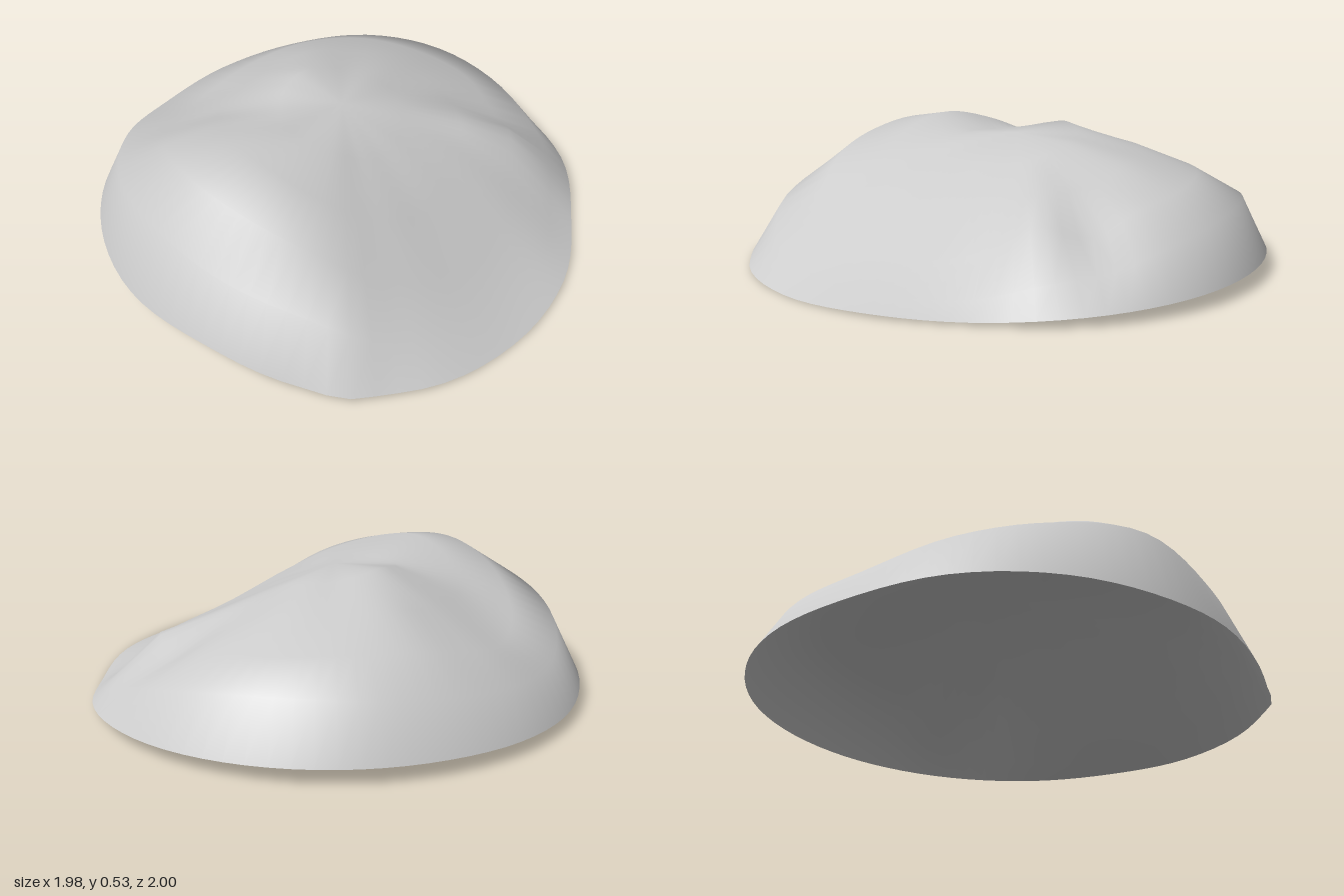
import * as THREE from 'three';

// Control values every 22.5 degrees, from +x round towards +z.
const rimRadius = [0.985, 1.025, 1.068, 1.04, 1, 0.995, 0.99, 0.99, 0.99, 0.99, 0.99, 1, 1, 1, 0.99, 0.95];
const rimHeight = [0.01, 0, 0.01, 0.02, 0.065, 0.065, 0.075, 0.07, 0.045, 0.05, 0.06, 0.065, 0.06, 0.05, 0.035, 0.01];
// Heights along each ring, as a fraction of the rim radius.
const rings = [
  { r: 0.25, h: [0.40, 0.40, 0.42, 0.46, 0.48, 0.48, 0.48, 0.49, 0.51, 0.525, 0.51, 0.49, 0.48, 0.46, 0.43, 0.41] },
  { r: 0.50, h: [0.27, 0.28, 0.34, 0.43, 0.50, 0.53, 0.49, 0.42, 0.40, 0.41, 0.44, 0.43, 0.42, 0.37, 0.35, 0.31] },
  { r: 0.72, h: [0.13, 0.15, 0.23, 0.38, 0.46, 0.49, 0.43, 0.33, 0.27, 0.30, 0.35, 0.36, 0.34, 0.31, 0.265, 0.18] },
  { r: 0.90, h: [0.05, 0.06, 0.12, 0.25, 0.31, 0.37, 0.33, 0.27, 0.20, 0.21, 0.24, 0.27, 0.265, 0.21, 0.14, 0.06] },
  { r: 1.00, h: rimHeight },
];
// Small local features: the spur at the back left and the hollow beside it.
const features = [
  { x: 0.58, z: -0.44, height: 0.04, width: 0.11 },
  { x: 0.44, z: -0.6, height: -0.06, width: 0.13 },
];
const CENTRE_HEIGHT = 0.5;
const SEGMENTS = 80;

// Smooth periodic interpolation of a control list, t in 0..1.
function around(list, t) {
  const n = list.length, f = t * n, i = Math.floor(f), u = f - i;
  const at = (k) => list[(i + k + n) % n];
  const a = at(-1), b = at(0), c = at(1), d = at(2);
  return b + 0.5 * u * (c - a + u * (2 * a - 5 * b + 4 * c - d + u * (3 * (b - c) + d - a)));
}

// Height added by the local features, fading out at the rim.
function featureHeight(x, z, r) {
  const sum = features.reduce((total, f) =>
    total + f.height * Math.exp(-((x - f.x) ** 2 + (z - f.z) ** 2) / f.width ** 2), 0);
  return sum * Math.min(1, (1 - r) * 10);
}

export function createModel() {
  const group = new THREE.Group();
  group.name = 'mound';

  // Open shell: a centre point and rings of points out to the rim.
  const positions = [0, CENTRE_HEIGHT, 0];
  const indices = [];
  rings.forEach(({ r, h }, k) => {
    for (let j = 0; j < SEGMENTS; j++) {
      const t = j / SEGMENTS, angle = t * Math.PI * 2;
      // small corner jutting out at the front of the rim
      const corner = 0.025 * Math.exp(-(((angle - 1.04) / 0.1) ** 2));
      const radius = r * (around(rimRadius, t) + corner * r ** 4);
      const x = Math.cos(angle) * radius, z = Math.sin(angle) * radius;
      positions.push(x, Math.max(0, around(h, t) + featureHeight(x, z, r)), z);

      const next = (j + 1) % SEGMENTS;
      const a = 1 + k * SEGMENTS + j, b = 1 + k * SEGMENTS + next;
      if (k === 0) indices.push(0, b, a);
      else indices.push(a - SEGMENTS, b, a, a - SEGMENTS, b - SEGMENTS, b);
    }
  });

  const geometry = new THREE.BufferGeometry();
  geometry.setAttribute('position', new THREE.Float32BufferAttribute(positions, 3));
  geometry.setIndex(indices);
  geometry.computeVertexNormals();

  const shell = new THREE.Mesh(
    geometry,
    new THREE.MeshStandardMaterial({ color: 0xcccccc, side: THREE.DoubleSide })
  );
  shell.name = 'moundShell';
  group.add(shell);
  return group;
}
